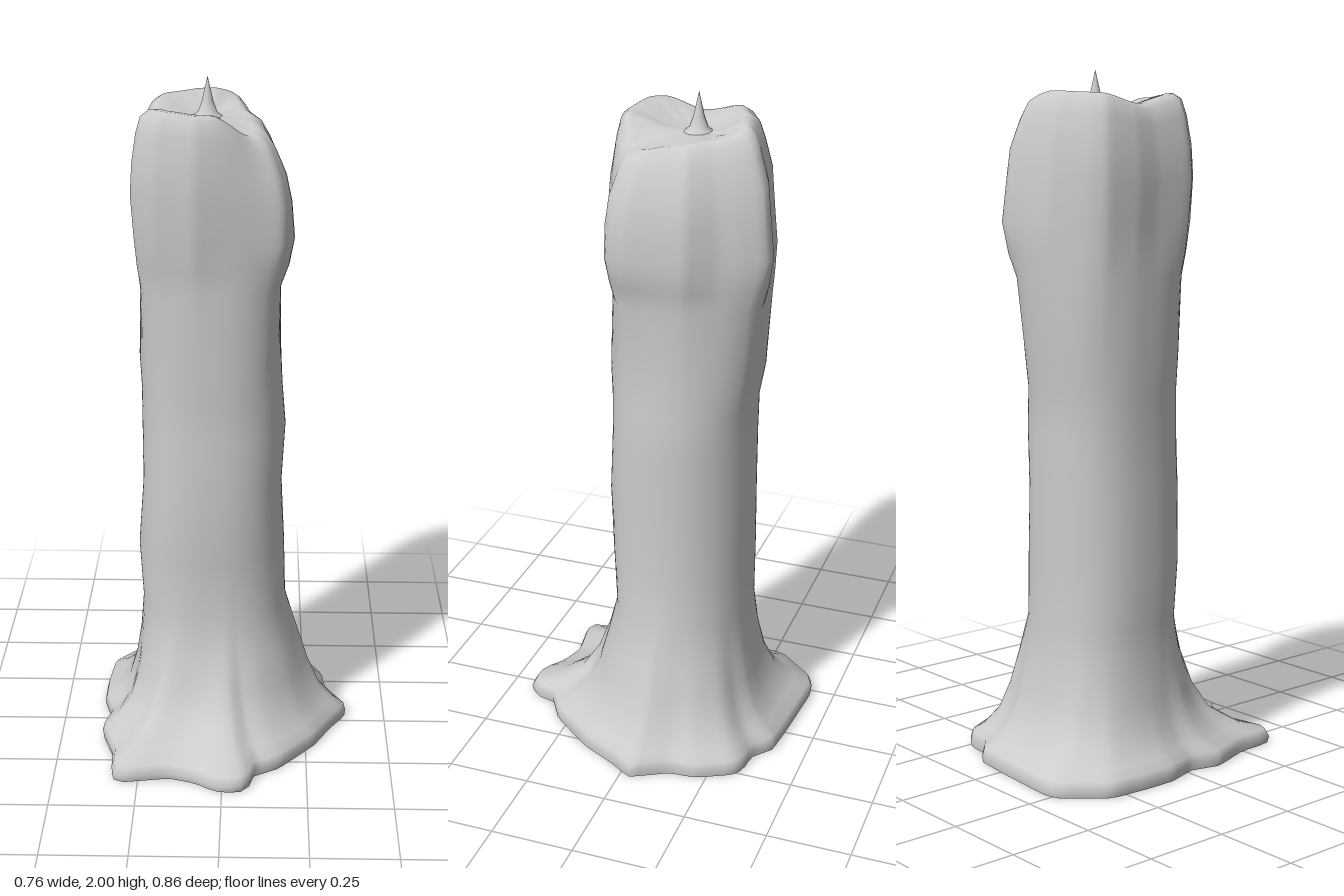
import * as THREE from 'three';

const N = 96, CX = -0.04, CZ = -0.06, TURN = Math.PI * 2;
const wax = new THREE.MeshStandardMaterial({ color: 0xcccccc, side: THREE.DoubleSide });

// Turns x, z pairs into angle, radius pairs around the shaft
const polar = (points) => points
  .map(([x, z]) => [(Math.atan2(z - CZ, x - CX) + TURN) % TURN, Math.hypot(x - CX, z - CZ)])
  .sort((p, q) => p[0] - q[0]);

// Outline of the spilled wax
const PUDDLE = polar([
  [-0.22, -0.43], [-0.27, -0.42], [-0.37, -0.3], [-0.38, -0.17], [-0.38, -0.08], [-0.35, 0.02],
  [-0.375, 0.11], [-0.33, 0.25], [-0.33, 0.36], [-0.305, 0.38], [-0.16, 0.355], [-0.08, 0.38],
  [-0.02, 0.425], [0.05, 0.43], [0.08, 0.4], [0.09, 0.34], [0.17, 0.29], [0.28, 0.15], [0.33, 0.05],
  [0.38, -0.03], [0.32, -0.14], [0.315, -0.22], [0.265, -0.32], [0.23, -0.345], [0.16, -0.35],
  [0.1, -0.4], [0, -0.412],
]);
// Outline of the swollen head
const HEAD = polar([
  [-0.23, -0.2], [-0.2, -0.235], [-0.1, -0.31], [0, -0.325], [0.03, -0.34], [0.07, -0.335],
  [0.1, -0.275], [0.125, -0.21], [0.18, -0.13], [0.19, -0.04], [0.2, 0.05], [0.17, 0.11],
  [0.06, 0.135], [-0.08, 0.165], [-0.2, 0.14], [-0.255, 0.08], [-0.243, -0.03], [-0.245, -0.1],
]);

// Shaft rings: y, min x, max x, min z, max z, amount of spread into the puddle
const WIDEST = [1.58, -0.243, 0.2, -0.335, 0.165, 0];
const RINGS = [
  [0, -0.25, 0.18, -0.27, 0.14, 0.98],
  [0.02, -0.25, 0.18, -0.27, 0.14, 1],
  [0.045, -0.25, 0.18, -0.27, 0.14, 0.95],
  [0.065, -0.25, 0.18, -0.27, 0.14, 0.7],
  [0.12, -0.25, 0.18, -0.27, 0.14, 0.38],
  [0.2, -0.25, 0.18, -0.27, 0.14, 0.2],
  [0.3, -0.25, 0.18, -0.27, 0.14, 0.08],
  [0.42, -0.25, 0.185, -0.27, 0.135, 0],
  [0.6, -0.26, 0.18, -0.27, 0.145, 0],
  [0.8, -0.245, 0.17, -0.27, 0.155, 0],
  [0.98, -0.245, 0.18, -0.27, 0.145, 0],
  [1.1, -0.245, 0.17, -0.272, 0.145, 0],
  [1.2, -0.25, 0.165, -0.29, 0.15, 0],
  [1.42, -0.245, 0.165, -0.312, 0.15, 0],
  [1.49, -0.245, 0.188, -0.325, 0.155, 0],
  WIDEST,
  [1.7, -0.252, 0.19, -0.322, 0.168, 0],
  [1.79, -0.246, 0.172, -0.314, 0.165, 0],
  [1.87, -0.235, 0.14, -0.29, 0.152, 0],
  [1.915, -0.222, 0.115, -0.272, 0.14, 0],
  [1.93, -0.2, 0.09, -0.25, 0.122, 0],
];
// Rim height every 45 degrees, from +x towards +z
const RIM = [1.88, 1.86, 1.925, 1.935, 1.905, 1.935, 1.94, 1.895];

// Distance from the shaft's middle to a straight-sided outline
function outlineRadius(outline, a) {
  const n = outline.length;
  let i = outline.findIndex((p) => p[0] > a);
  if (i < 0) i = n;
  const p = outline[(i + n - 1) % n], q = outline[i % n];
  const span = (q[0] - p[0] + TURN) % TURN, t = (a - p[0] + TURN) % TURN;
  return p[1] * q[1] * Math.sin(span) / (p[1] * Math.sin(t) + q[1] * Math.sin(span - t));
}

function rimHeight(a) {
  const u = a / (Math.PI / 4), i = Math.floor(u) % 8, t = u - Math.floor(u);
  return THREE.MathUtils.lerp(RIM[i], RIM[(i + 1) % 8], t * t * (3 - 2 * t));
}

// Rounded-square cross-section of the shaft
function shaftRadius([, x0, x1, z0, z1], a) {
  const c = Math.cos(a), s = Math.sin(a);
  const ex = c > 0 ? x1 - CX : CX - x0, ez = s > 0 ? z1 - CZ : CZ - z0;
  const e = c > 0 && s < 0 ? 2 : 2.4;
  return (Math.abs(c / ex) ** e + Math.abs(s / ez) ** e) ** (-1 / e);
}

// One point on a ring, blended into the puddle below and the head above
function ringPoint(ring, a) {
  const y = ring[0], c = Math.cos(a), s = Math.sin(a);
  const swell = outlineRadius(HEAD, a) / shaftRadius(WIDEST, a);
  const shaft = shaftRadius(ring, a)
    * THREE.MathUtils.lerp(1, swell, THREE.MathUtils.smoothstep(y, 1.3, 1.58));
  const spread = ring[5] ** (1 - 0.42 * Math.max(0, c));
  const r = THREE.MathUtils.lerp(shaft, outlineRadius(PUDDLE, a), spread);
  const h = y > 1.5 ? 1.5 + (y - 1.5) * (rimHeight(a) - 1.5) / 0.43 : y;
  return [CX + c * r, h, CZ + s * r];
}

function skin(rings) {
  const index = [];
  for (let j = 0; j < rings.length - 1; j++) {
    for (let i = 0; i < N; i++) {
      const k = (i + 1) % N, a = j * N + i, b = j * N + k;
      index.push(a, a + N, b, b, a + N, b + N);
    }
  }
  const g = new THREE.BufferGeometry();
  g.setAttribute('position', new THREE.Float32BufferAttribute(rings.flat(2), 3));
  g.setIndex(index);
  g.computeVertexNormals();
  return g;
}

export function createModel() {
  const group = new THREE.Group();
  const add = (name, geometry) => {
    const mesh = new THREE.Mesh(geometry, wax);
    mesh.name = name;
    group.add(mesh);
    return mesh;
  };
  const angles = Array.from({ length: N }, (_, i) => i / N * TURN);
  const rings = RINGS.map((ring) => angles.map((a) => ringPoint(ring, a)));

  // Shallow melted bowl sinking from the rim to the wick
  const rim = rings[rings.length - 1], wick = [-0.05, 1.888, -0.09];
  for (const [inset, drop] of [[0.1, 0.03], [0.3, 0.35], [0.5, 0.75], [0.75, 0.95], [0.95, 1]]) {
    rings.push(rim.map((p) => [
      THREE.MathUtils.lerp(p[0], wick[0], inset),
      THREE.MathUtils.lerp(p[1], wick[1], drop),
      THREE.MathUtils.lerp(p[2], wick[2], inset),
    ]));
  }
  add('waxBody', skin(rings));

  // Flat underside
  add('underside', skin([angles.map(() => [CX, 0, CZ]), rings[0]]));

  // Tapered wick
  const profile = [[0.045, 1.885], [0.027, 1.9], [0.016, 1.93], [0.008, 1.965], [0, 2]];
  const wickMesh = add('wick', new THREE.LatheGeometry(profile.map((p) => new THREE.Vector2(...p)), 12));
  wickMesh.position.set(wick[0], 0, wick[2]);
  return group;
}
